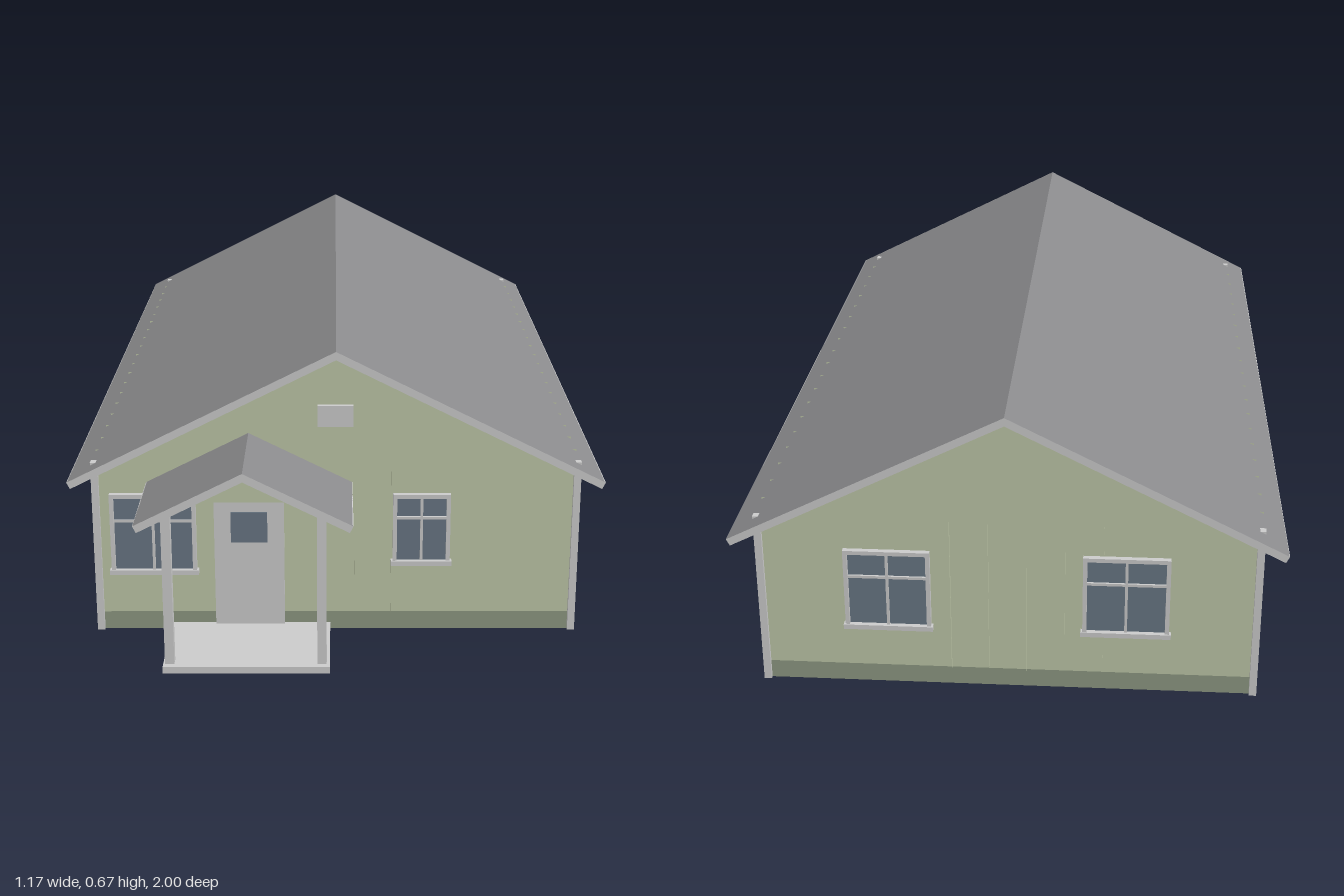
import * as THREE from 'three';

const mat = (color, side = THREE.FrontSide) => new THREE.MeshStandardMaterial({ color, side, flatShading: true });
const trim = mat(0xcccccc);
const siding = mat(0xbdc6a7, THREE.DoubleSide);
const batten = mat(0xbdc6a7);
const plinthMat = mat(0x8d9882, THREE.DoubleSide);
const glass = mat(0x687684);
const darkTrim = mat(0x66666a);
const roofing = mat(0x8a8a8c);

const W = 0.53, EAVE = 0.38, RIDGE = 0.65, PLINTH = 0.042;
const FRONT = 0.747, BACK = -0.943;

function add(parent, name, geometry, material) {
  const mesh = new THREE.Mesh(geometry, material);
  mesh.name = name;
  parent.add(mesh);
  return mesh;
}

// Box given by its extents
function box(parent, name, material, [x0, x1], [y0, y1], [z0, z1]) {
  const mesh = add(parent, name, new THREE.BoxGeometry(x1 - x0, y1 - y0, z1 - z0), material);
  mesh.position.set((x0 + x1) / 2, (y0 + y1) / 2, (z0 + z1) / 2);
  return mesh;
}

const polygon = (points) => new THREE.Shape(points.map(([x, y]) => new THREE.Vector2(x, y)));

// Window in a wall: u along the wall, z outwards
function addWindow(wall, u0, u1, y0, y1) {
  const g = new THREE.Group();
  g.name = 'window';
  wall.add(g);
  const f = 0.009, d = [-0.002, 0.012], uc = (u0 + u1) / 2, yb = y0 + (y1 - y0) * 0.66;
  box(g, 'windowGlass', glass, [u0 + f, u1 - f], [y0 + f, y1 - f], [-0.003, 0.004]);
  box(g, 'windowJamb', trim, [u0, u0 + f], [y0, y1], d);
  box(g, 'windowJamb', trim, [u1 - f, u1], [y0, y1], d);
  box(g, 'windowHead', trim, [u0 + f, u1 - f], [y1 - f, y1], d);
  box(g, 'windowSill', trim, [u0 - 0.004, u1 + 0.004], [y0 - 0.002, y0 + f], [-0.002, 0.015]);
  box(g, 'windowMullion', trim, [uc - 0.003, uc + 0.003], [y0 + f, y1 - f], [0.003, 0.009]);
  box(g, 'windowTransom', trim, [u0 + f, u1 - f], [yb - 0.003, yb + 0.003], [0.003, 0.0085]);
}

// Upright batten sides, interrupted at the openings
function addBattens(wall, half, count, openings, gable) {
  for (let i = 1; i < count; i++) {
    const u = -half + (2 * half * i) / count;
    const hit = openings.find(([a, b]) => u > a - 0.005 && u < b + 0.005);
    const runs = hit ? [[PLINTH, hit[2]], [hit[3], 0.4]] : [[PLINTH, 0.4]];
    for (const [y0, y1] of runs) {
      if (y1 - y0 < 0.01) continue;
      const m = add(wall, 'batten', new THREE.PlaneGeometry(0.009, y1 - y0),
        gable && Math.abs(u) > 0.15 ? batten : siding);
      m.rotation.y = Math.sign(u || 1) * Math.PI / 2;
      m.position.set(u, (y0 + y1) / 2, 0.0045);
    }
  }
}

function addWall(house, name, position, angle, half, gable, windows, doors = []) {
  const wall = new THREE.Group();
  wall.name = name;
  wall.position.set(...position);
  wall.rotation.y = angle;
  house.add(wall);
  const outline = [[-half, PLINTH], [half, PLINTH], [half, EAVE]];
  if (gable) outline.push([0, RIDGE]);
  outline.push([-half, EAVE]);
  add(wall, 'siding', new THREE.ShapeGeometry(polygon(outline)), siding);
  const base = [[-half, 0], [half, 0], [half, PLINTH], [-half, PLINTH]];
  add(wall, 'plinth', new THREE.ShapeGeometry(polygon(base)), plinthMat);
  windows.forEach((w) => addWindow(wall, ...w));
  addBattens(wall, half, gable ? 13 : 20, [...windows, ...doors], gable);
  return wall;
}

// Pitched roof slab: dark sheets with pale verges and eave boards
function addRoof(parent, name, xc, ridge, halfSpan, eave, z0, z1) {
  const g = new THREE.Group();
  g.name = name;
  g.position.set(xc, 0, z0);
  parent.add(g);
  const t = 0.0165, a = Math.atan2(ridge - eave, halfSpan);
  const bx = halfSpan - t * Math.sin(a), by = eave - t * Math.cos(a), rb = ridge - t / Math.cos(a);
  const shape = polygon([[0, ridge], [-halfSpan, eave], [-bx, by], [0, rb], [bx, by], [halfSpan, eave]]);
  add(g, 'roofSlab', new THREE.ExtrudeGeometry(shape, { depth: z1 - z0, bevelEnabled: false }), [trim, roofing]);
  for (const s of [-1, 1]) {
    const board = add(g, 'eaveBoard', new THREE.BoxGeometry(0.002, t, z1 - z0), trim);
    board.position.set(s * (halfSpan + bx) / 2, (eave + by) / 2, (z1 - z0) / 2);
    board.rotation.z = -s * a;
  }
}

export function createModel() {
  const house = new THREE.Group();
  house.name = 'house';
  const zc = (FRONT + BACK) / 2, L = (FRONT - BACK) / 2;

  // Walls with their windows
  const frontDoor = [-0.27, -0.115, 0.016, 0.325];
  const front = addWall(house, 'frontWall', [0, 0, FRONT], 0, W, true,
    [[-0.5, -0.31, 0.14, 0.328], [0.126, 0.253, 0.162, 0.328]], [frontDoor]);
  addWall(house, 'backWall', [0, 0, BACK], Math.PI, W, true,
    [[-0.35, -0.165, 0.14, 0.328], [0.16, 0.345, 0.14, 0.328]]);
  const alongLeft = (z0, z1, y0, y1) => [zc - z1, zc - z0, y0, y1];
  const alongRight = (z0, z1, y0, y1) => [z0 - zc, z1 - zc, y0, y1];
  const patio = alongLeft(-0.015, 0.245, 0.012, 0.328);
  const left = addWall(house, 'leftWall', [W, 0, zc], Math.PI / 2, L, false, [
    alongLeft(0.385, 0.525, 0.162, 0.328),
    alongLeft(-0.287, -0.19, 0.205, 0.328),
    alongLeft(-0.765, -0.62, 0.142, 0.328)], [patio]);
  addWall(house, 'rightWall', [-W, 0, zc], -Math.PI / 2, L, false, [
    alongRight(0.235, 0.41, 0.142, 0.328),
    alongRight(-0.315, -0.22, 0.205, 0.328),
    alongRight(-0.765, -0.62, 0.142, 0.328)]);

  // Front door and gable vent
  box(front, 'frontDoor', trim, frontDoor.slice(0, 2), frontDoor.slice(2), [-0.003, 0.01]);
  box(front, 'doorGlass', glass, [-0.233, -0.152], [0.215, 0.287], [0.005, 0.012]);
  box(front, 'gableVent', trim, [-0.04, 0.038], [0.485, 0.533], [-0.002, 0.01]);

  // Sliding patio door
  const [p0, p1, py0, py1] = patio, pm = (p0 + p1) / 2;
  box(left, 'patioGlass', glass, [p0, p1], [py0, py1], [-0.003, 0.004]);
  for (const u of [p0, p1]) box(left, 'patioJamb', trim, [u - 0.006, u + 0.006], [py0, py1], [-0.002, 0.012]);
  box(left, 'patioHead', trim, [p0, p1], [py1 - 0.006, py1 + 0.003], [-0.002, 0.0118]);
  box(left, 'patioThreshold', darkTrim, [p0, p1], [py0, py0 + 0.015], [-0.002, 0.012]);
  for (const u of [p0 + 0.009, pm, p1 - 0.009])
    box(left, 'patioStile', darkTrim, [u - 0.003, u + 0.003], [py0 + 0.015, py1 - 0.006], [0.002, 0.009]);

  // Corner boards
  for (const x of [-W, W]) for (const z of [FRONT, BACK])
    box(house, 'cornerBoard', trim, [x - 0.008, x + 0.008], [0, 0.402], [z - 0.008, z + 0.008]);

  addRoof(house, 'mainRoof', 0, 0.667, 0.583, 0.373, -1, 0.8);

  // Porch
  const porch = new THREE.Group();
  porch.name = 'porch';
  house.add(porch);
  addRoof(porch, 'porchRoof', -0.191, 0.468, 0.226, 0.354, FRONT, 1);
  box(porch, 'porchSlab', trim, [-0.37, -0.013], [0, 0.016], [FRONT + 0.002, 0.965]);
  for (const x of [-0.356, -0.03])
    box(porch, 'porchPost', trim, [x - 0.01, x + 0.01], [0.016, 0.37], [0.93, 0.952]);
  const infill = add(porch, 'porchGable',
    new THREE.ShapeGeometry(polygon([[-0.325, 0.384], [-0.057, 0.384], [-0.191, 0.451]])), siding);
  infill.position.z = 0.945;
  return house;
}
